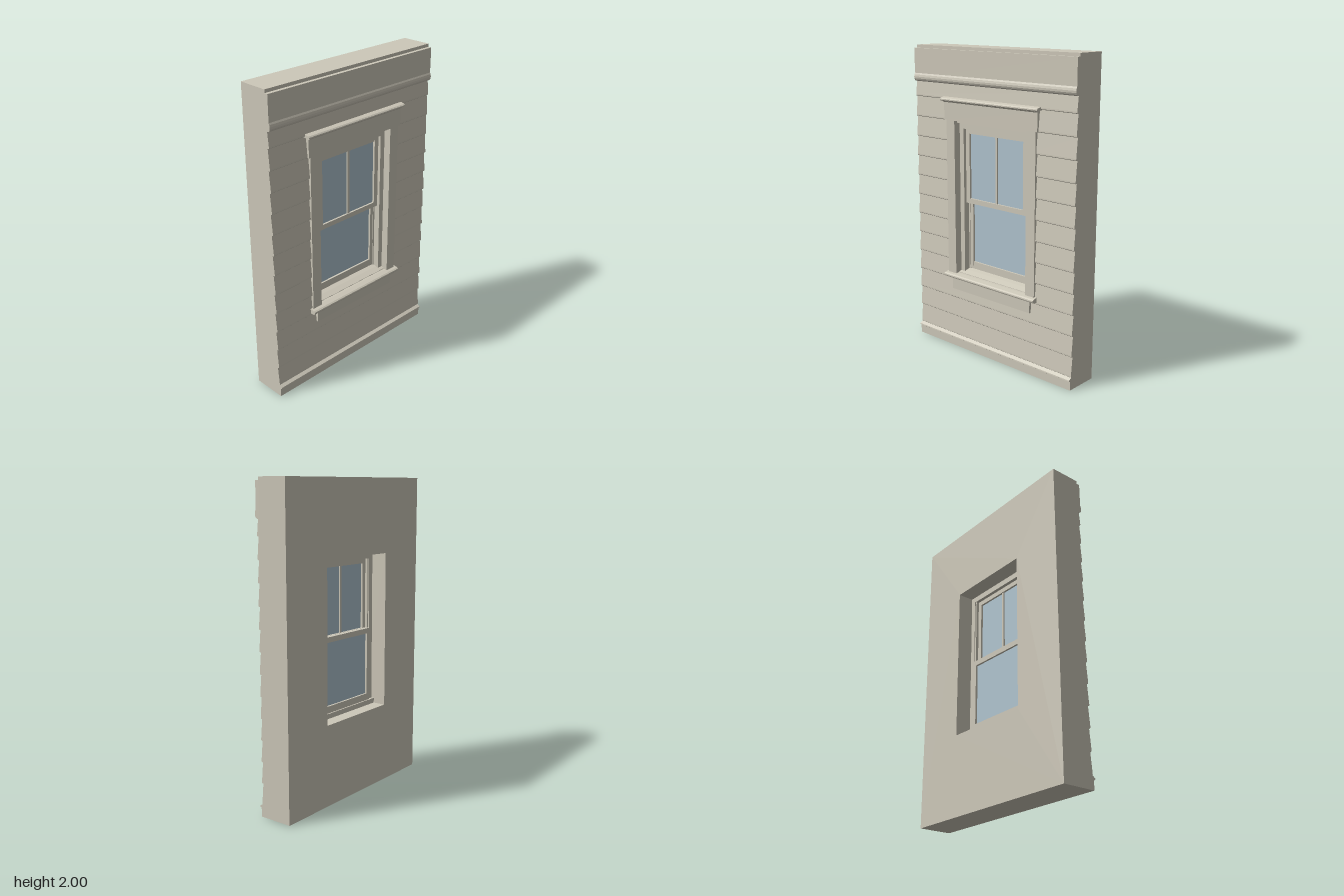
import * as THREE from 'three';

const paint = new THREE.MeshStandardMaterial({ color: 0xcdc8b9 });
paint.name = 'paintedWood';
const pane = new THREE.MeshStandardMaterial({ color: 0xafc3ce });
pane.name = 'windowGlass';

export function createModel() {
  const model = new THREE.Group();
  model.name = 'wallWithWindow';

  const add = (name, geometry, parent = model, material = paint) => {
    const mesh = new THREE.Mesh(geometry, material);
    mesh.name = name;
    parent.add(mesh);
    return mesh;
  };
  const group = (name) => {
    const g = new THREE.Group();
    g.name = name;
    model.add(g);
    return g;
  };
  // Box given by its limits on each axis
  const box = (name, [x0, x1], [y0, y1], [z0, z1], parent, material) =>
    add(name, new THREE.BoxGeometry(x1 - x0, y1 - y0, z1 - z0)
      .translate((x0 + x1) / 2, (y0 + y1) / 2, (z0 + z1) / 2), parent, material);
  // Pair of boxes mirrored in x
  const pair = (name, [x0, x1], y, z, parent) => {
    box(name + 'Left', [x0, x1], y, z, parent);
    box(name + 'Right', [-x1, -x0], y, z, parent);
  };
  // Molding: a (z, y) section run along x
  const molding = (name, section, x0, x1, parent) => {
    const shape = new THREE.Shape(section.map(([z, y]) => new THREE.Vector2(z, y)));
    const geo = new THREE.ExtrudeGeometry(shape, { depth: x1 - x0, bevelEnabled: false });
    return add(name, geo.rotateY(-Math.PI / 2).translate(x1, 0, 0), parent);
  };

  const W = 0.66;

  // Wall core with the window opening
  const wall = new THREE.Shape([[-W, 0], [W, 0], [W, 2], [-W, 2]].map((p) => new THREE.Vector2(...p)));
  wall.holes.push(new THREE.Path(
    [[-0.3, 0.52], [-0.3, 1.525], [0.3, 1.525], [0.3, 0.52]].map((p) => new THREE.Vector2(...p))));
  add('wallCore', new THREE.ExtrudeGeometry(wall, { depth: 0.197, bevelEnabled: false }).translate(0, 0, -0.125));

  // Lap siding, split in two beside the window
  const siding = group('siding');
  const pitch = 0.1325;
  for (let i = 0; i < 13; i++) {
    const y = 0.08 + i * pitch;
    const top = Math.min(y + pitch, 1.785);
    const section = [[0.06, y], [0.084, y], [0.088, y + 0.004], [0.088, y + 0.012], [0.077, top], [0.06, top]];
    const beside = top > 0.52 && y < 1.52;
    const spans = beside ? [[-W, -0.33], [0.33, W]] : [[-W, W]];
    spans.forEach(([a, b]) => molding('sidingBoard', section, a, b, siding));
  }

  // Base board with drip cap
  box('baseBoard', [-W, W], [0, 0.065], [0.06, 0.095]);
  molding('baseDripCap', [[0.06, 0.063], [0.1, 0.058], [0.106, 0.062], [0.105, 0.069], [0.085, 0.082], [0.06, 0.084]], -W, W);

  // Frieze board with a rounded bead at its foot
  box('friezeBoard', [-W, W], [1.79, 1.98], [0.06, 0.095]);
  molding('friezeBead', [[0.06, 1.768], [0.088, 1.768], [0.097, 1.775], [0.102, 1.785], [0.103, 1.797],
    [0.1, 1.81], [0.095, 1.82], [0.06, 1.82]], -W, W);

  // Casing, head board, cap, sill and apron
  const casing = group('windowCasing');
  pair('sideCasing', [0.3, 0.37], [0.515, 1.54], [0.06, 0.096], casing);
  box('headCasing', [-0.385, 0.385], [1.54, 1.655], [0.06, 0.1], casing);
  molding('headCapLower', [[0.06, 1.654], [0.106, 1.654], [0.113, 1.662], [0.113, 1.67], [0.06, 1.67]], -0.385, 0.385, casing);
  molding('headCap', [[0.06, 1.667], [0.117, 1.663], [0.122, 1.667], [0.122, 1.674], [0.115, 1.68], [0.09, 1.686], [0.06, 1.688]],
    -0.4, 0.4, casing);
  molding('sill', [[0.06, 0.49], [0.11, 0.49], [0.121, 0.495], [0.125, 0.503], [0.124, 0.511], [0.115, 0.517],
    [0.085, 0.523], [0.06, 0.525]], -0.385, 0.385, casing);
  box('apron', [-0.335, 0.335], [0.41, 0.492], [0.06, 0.096], casing);

  // Frame set inside the opening
  const frame = group('windowFrame');
  pair('jamb', [0.265, 0.301], [0.52, 1.525], [-0.02, 0.048], frame);
  pair('jambStop', [0.254, 0.266], [0.54, 1.495], [-0.015, 0.006], frame);
  box('headJamb', [-0.3, 0.3], [1.488, 1.526], [-0.02, 0.048], frame);
  molding('frameSill', [[-0.04, 0.515], [0.07, 0.515], [0.07, 0.527], [0.03, 0.54], [-0.02, 0.552], [-0.04, 0.552]],
    -0.3, 0.3, frame);

  // Sashes: stiles, rails and glass
  const sash = (name, half, glassHalf, y0, y1, bottomRail, topRail, z) => {
    const g = group(name);
    const mid = (z[0] + z[1]) / 2;
    pair('stile', [glassHalf, half], [y0, y1], z, g);
    box('bottomRail', [-glassHalf, glassHalf], [y0, y0 + bottomRail], [z[0], z[1] - 0.001], g);
    box('topRail', [-glassHalf, glassHalf], [y1 - topRail, y1], [z[0], z[1] - 0.001], g);
    box('glass', [-glassHalf, glassHalf], [y0 + bottomRail, y1 - topRail], [mid - 0.003, mid + 0.003], g, pane);
    return g;
  };
  const upper = sash('upperSash', 0.257, 0.225, 1.003, 1.488, 0.032, 0.03, [0.003, 0.036]);
  box('muntin', [-0.008, 0.008], [1.03, 1.46], [0.008, 0.03], upper);
  sash('lowerSash', 0.257, 0.23, 0.548, 1.035, 0.048, 0.034, [-0.031, 0.002]);

  return model;
}
